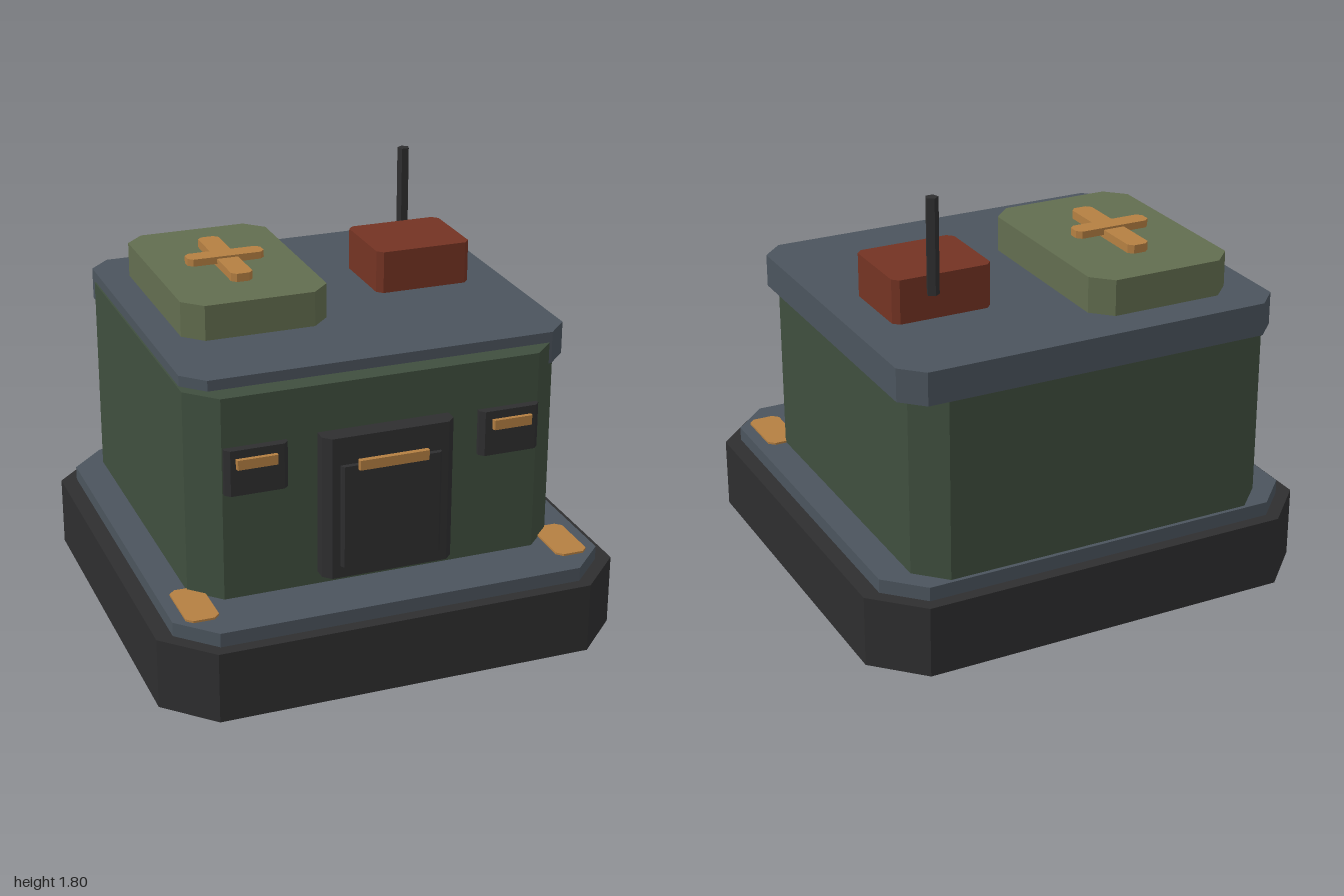
import * as THREE from 'three';

const mat = (name, color) => {
  const m = new THREE.MeshStandardMaterial({ color });
  m.name = name;
  return m;
};

export function createModel() {
  const group = new THREE.Group();
  const charcoal = mat('charcoal', 0x2e2e2f);
  const slate = mat('slate', 0x4b545d);
  const green = mat('dark green', 0x3f4e3e);
  const olive = mat('olive', 0x626d4f);
  const rust = mat('rust red', 0x743323);
  const ochre = mat('ochre', 0xb47f42);

  // Slab with its four upright edges cut off at 45 degrees by c
  function slab(name, material, [x0, x1], [y0, y1], [z0, z1], c) {
    const s = new THREE.Shape([
      [x0 + c, z1], [x1 - c, z1], [x1, z1 - c], [x1, z0 + c],
      [x1 - c, z0], [x0 + c, z0], [x0, z0 + c], [x0, z1 - c],
    ].map(([x, z]) => new THREE.Vector2(x, -z)));
    const geo = new THREE.ExtrudeGeometry(s, { depth: y1 - y0, bevelEnabled: false });
    geo.rotateX(-Math.PI / 2).translate(0, y0, 0);
    const mesh = new THREE.Mesh(geo, material);
    mesh.name = name;
    group.add(mesh);
  }

  // Foundation, floor, walls and the offset roof
  slab('foundation', charcoal, [-1, 1], [0, 0.305], [-0.97, 0.97], 0.195);
  slab('floor', slate, [-0.93, 0.93], [0.305, 0.365], [-0.917, 0.917], 0.15);
  slab('walls', green, [-0.8, 0.8], [0.365, 1.24], [-0.9, 0.66], 0.12);
  slab('roof', slate, [-0.793, 0.872], [1.147, 1.285], [-0.932, 0.57], 0.09);

  // Roof hatch with crossed bars
  slab('hatch', olive, [-0.663, -0.028], [1.285, 1.436], [-0.775, 0.167], 0.08);
  slab('hatchBarLong', ochre, [-0.392, -0.298], [1.436, 1.472], [-0.555, -0.055], 0.02);
  slab('hatchBarCross', ochre, [-0.517, -0.177], [1.45, 1.481], [-0.343, -0.262], 0.02);

  // Roof unit and antenna
  slab('roofUnit', rust, [0.278, 0.707], [1.285, 1.47], [-0.47, -0.097], 0.025);
  const antenna = new THREE.Mesh(
    new THREE.CylinderGeometry(0.027, 0.027, 0.4, 5).toNonIndexed(), charcoal);
  antenna.geometry.computeVertexNormals();
  antenna.rotation.y = Math.PI;
  antenna.position.set(0.553, 1.6, -0.496);
  antenna.name = 'antenna';
  group.add(antenna);

  // Front door
  slab('doorFrame', charcoal, [-0.282, 0.282], [0.42, 1.038], [0.6, 0.745], 0.032);
  slab('doorPanel', charcoal, [-0.215, 0.215], [0.475, 0.92], [0.73, 0.767], 0.01);
  slab('doorHandle', ochre, [-0.15, 0.15], [0.905, 0.947], [0.765, 0.788], 0.004);

  // Windows and corner floor plates on both sides
  for (const side of [-1, 1]) {
    const label = side > 0 ? 'left' : 'right';
    const span = (a, b) => (side > 0 ? [a, b] : [-b, -a]);
    slab(label + 'WindowBox', charcoal, span(0.412, 0.676), [0.835, 1.03], [0.61, 0.697], 0.02);
    slab(label + 'WindowBar', ochre, span(0.463, 0.634), [0.953, 0.995], [0.69, 0.716], 0.004);
    slab(label + 'FloorPlate', ochre, span(0.74, 0.878), [0.365, 0.374], [0.53, 0.8], 0.025);
  }
  return group;
}
